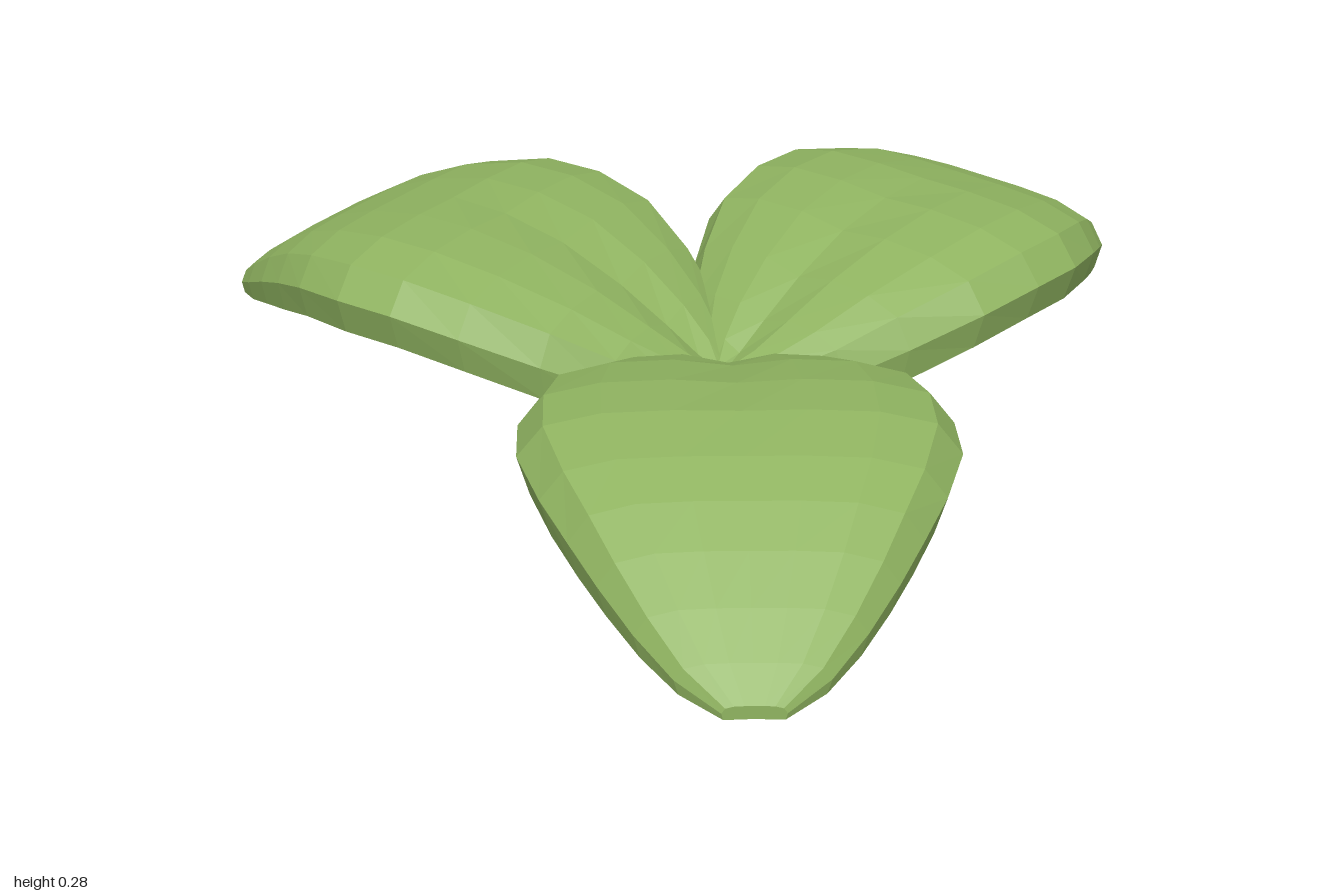
import * as THREE from 'three';

// Rows along a leaf: distance from the base, half width, top height, bottom height
const ROWS = [
  [0, 0.03, 0.08, 0], [0.05, 0.12, 0.11, 0], [0.12, 0.195, 0.155, 0.015],
  [0.22, 0.265, 0.21, 0.05], [0.35, 0.335, 0.26, 0.1], [0.48, 0.363, 0.284, 0.125],
  [0.6, 0.363, 0.286, 0.127], [0.72, 0.325, 0.263, 0.115], [0.81, 0.28, 0.23, 0.09],
  [0.89, 0.235, 0.185, 0.068], [0.97, 0.18, 0.13, 0.04], [1.04, 0.12, 0.075, 0.018],
  [1.09, 0.05, 0.03, 0.005],
];

// Half of the cross-section: side fraction, height fraction
const HALF = [[0, 1], [0.3, 1], [0.62, 0.97], [0.88, 0.83], [1, 0.48], [0.94, 0.04], [0.5, 0.06], [0, 0.1]];
const SECTION = [...HALF, ...HALF.slice(1, -1).reverse().map(([s, h]) => [-s, h])];

function leafGeometry() {
  const pos = [], index = [], n = SECTION.length;
  for (const [u, w, top, bottom] of ROWS) {
    // Shallow midrib groove that fades out halfway along the leaf
    const groove = 0.16 * Math.max(0, 1 - u / 0.65);
    SECTION.forEach(([s, h], j) => {
      const f = j === 0 ? h - groove : h;
      pos.push(u, bottom + (top - bottom) * f, s * w);
    });
  }
  for (let i = 0; i < ROWS.length - 1; i++) {
    for (let j = 0; j < n; j++) {
      const a = i * n + j, b = i * n + (j + 1) % n;
      index.push(a, b, b + n, a, b + n, a + n);
    }
  }
  // Close the base and the tip
  const last = (ROWS.length - 1) * n;
  for (let j = 1; j < n - 1; j++) {
    index.push(0, j + 1, j, last, last + j, last + j + 1);
  }
  const geometry = new THREE.BufferGeometry();
  geometry.setAttribute('position', new THREE.Float32BufferAttribute(pos, 3));
  geometry.setIndex(index);
  geometry.computeVertexNormals();
  return geometry;
}

export function createModel() {
  const group = new THREE.Group();
  group.name = 'threeLeafSprig';
  const geometry = leafGeometry();
  const material = new THREE.MeshStandardMaterial({ color: 0x8fb360, flatShading: true });

  // Three leaves fan out from a shared base: heading in degrees, length scale
  const leaves = [['rightLeaf', 186, 1], ['backLeaf', 286, 0.975], ['frontLeaf', 62, 0.98]];
  for (const [name, heading, length] of leaves) {
    const leaf = new THREE.Mesh(geometry, material);
    leaf.name = name;
    leaf.position.set(0.21, 0, 0.03);
    leaf.rotation.y = -THREE.MathUtils.degToRad(heading);
    leaf.scale.x = length;
    group.add(leaf);
  }
  return group;
}
